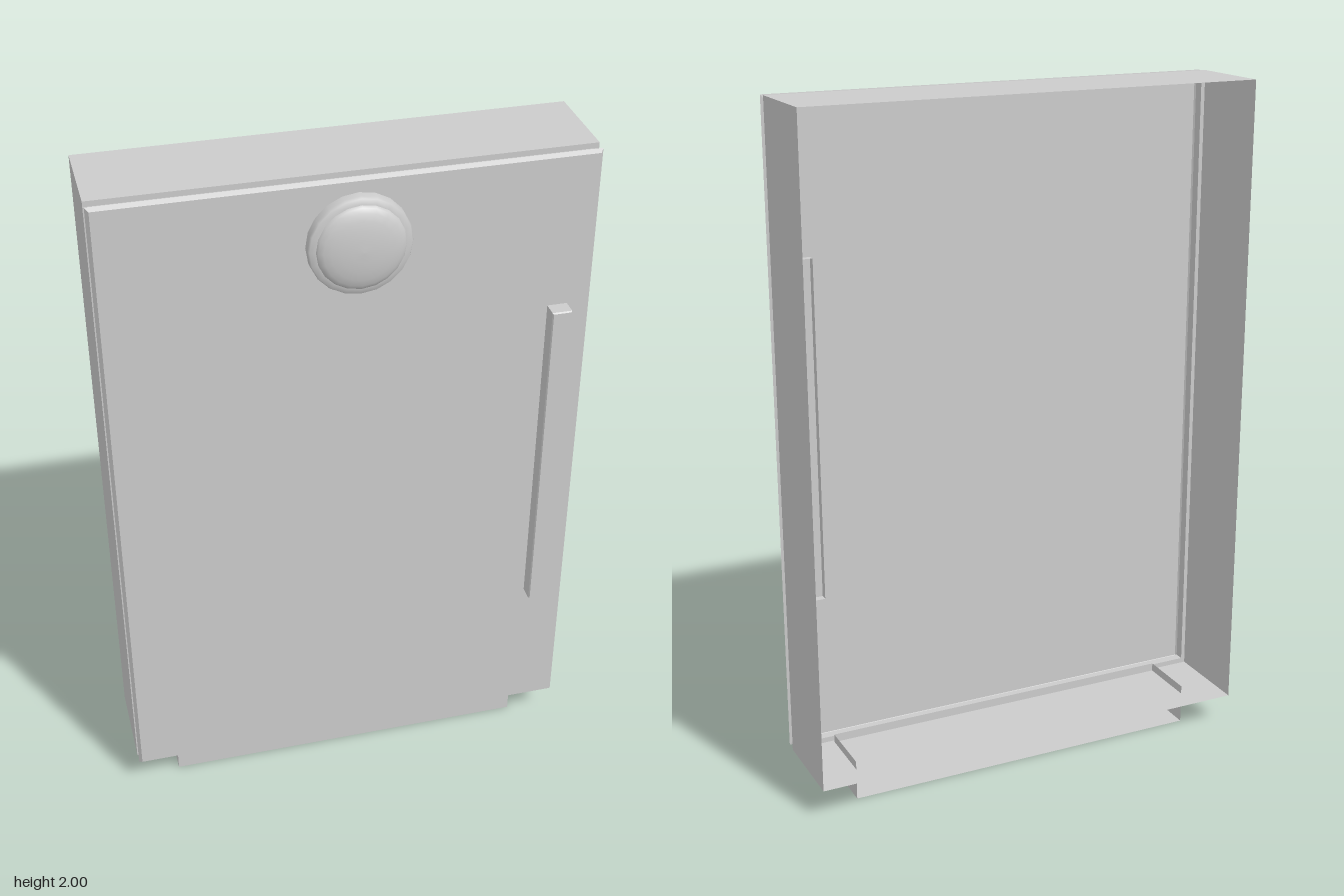
import * as THREE from 'three';

const material = new THREE.MeshStandardMaterial({ color: 0xcccccc, side: THREE.DoubleSide });

// Thin rectangular skin through rings [z, halfWidth, halfHeight], back to front, with an optional front cap
function rectangularSkin(rings, capped) {
  const points = [];
  const quad = (a, b, c, d) => points.push(...a, ...b, ...c, ...a, ...c, ...d);
  const corners = ([z, w, h]) => [[-w, -h, z], [w, -h, z], [w, h, z], [-w, h, z]];
  for (let i = 0; i < rings.length - 1; i++) {
    const a = corners(rings[i]), b = corners(rings[i + 1]);
    for (let k = 0; k < 4; k++) {
      const n = (k + 1) % 4;
      quad(a[k], a[n], b[n], b[k]);
    }
  }
  if (capped) quad(...corners(rings[rings.length - 1]));
  const geometry = new THREE.BufferGeometry();
  geometry.setAttribute('position', new THREE.Float32BufferAttribute(points, 3));
  geometry.computeVertexNormals();
  return geometry;
}

// Box with some faces left out (0 +x, 1 -x, 2 +y, 3 -y, 4 +z, 5 -z)
function openBox(w, h, d, missing) {
  const geometry = new THREE.BoxGeometry(w, h, d);
  const index = Array.from(geometry.index.array);
  geometry.setIndex(index.filter((_, i) => !missing.includes(Math.floor(i / 6))));
  geometry.clearGroups();
  return geometry;
}

export function createModel() {
  const group = new THREE.Group();
  const add = (name, geometry, x, y, z) => {
    const mesh = new THREE.Mesh(geometry, material);
    mesh.name = name;
    mesh.position.set(x, y, z);
    group.add(mesh);
    return mesh;
  };

  // Cabinet walls, open at the back, with a narrow lip at the front
  add('cabinet', rectangularSkin([
    [-0.185, 0.672, 0.9525], [0.08, 0.672, 0.9525], [0.08, 0.66, 0.937],
  ], false), 0, 1.0475, 0);

  // Door: recessed neck, then a panel with a bevelled edge
  add('door', rectangularSkin([
    [0.08, 0.66, 0.937], [0.108, 0.66, 0.937], [0.11, 0.671, 0.951], [0.122, 0.662, 0.943],
  ], true), 0, 1.0475, 0);

  // Handle, hollow and reaching slightly through the door
  add('handle', rectangularSkin([
    [0.1, 0.028, 0.503], [0.164, 0.028, 0.503], [0.168, 0.025, 0.5],
  ], true), 0.575, 1.05, 0);

  // Round knob: faceted rim with a smooth dome
  const rim = [[0.14, 0], [0.14, 0.022], [0.136, 0.03], [0.12, 0.033]];
  const dome = [];
  for (let i = 0; i <= 6; i++) {
    const t = (i / 6) * Math.PI / 2;
    dome.push([i === 6 ? 0 : 0.12 * Math.cos(t), 0.033 + 0.03 * Math.sin(t)]);
  }
  for (const [name, profile] of [['knobRim', rim], ['knobDome', dome]]) {
    const points = profile.map(([r, y]) => new THREE.Vector2(r, y));
    add(name, new THREE.LatheGeometry(points, 20), 0.015, 1.82, 0.122).rotation.x = Math.PI / 2;
  }

  // Plinth tray, open at the top and back
  add('plinth', openBox(1.09, 0.12, 0.18, [2, 5]), 0, 0.06, -0.02);
  return group;
}
